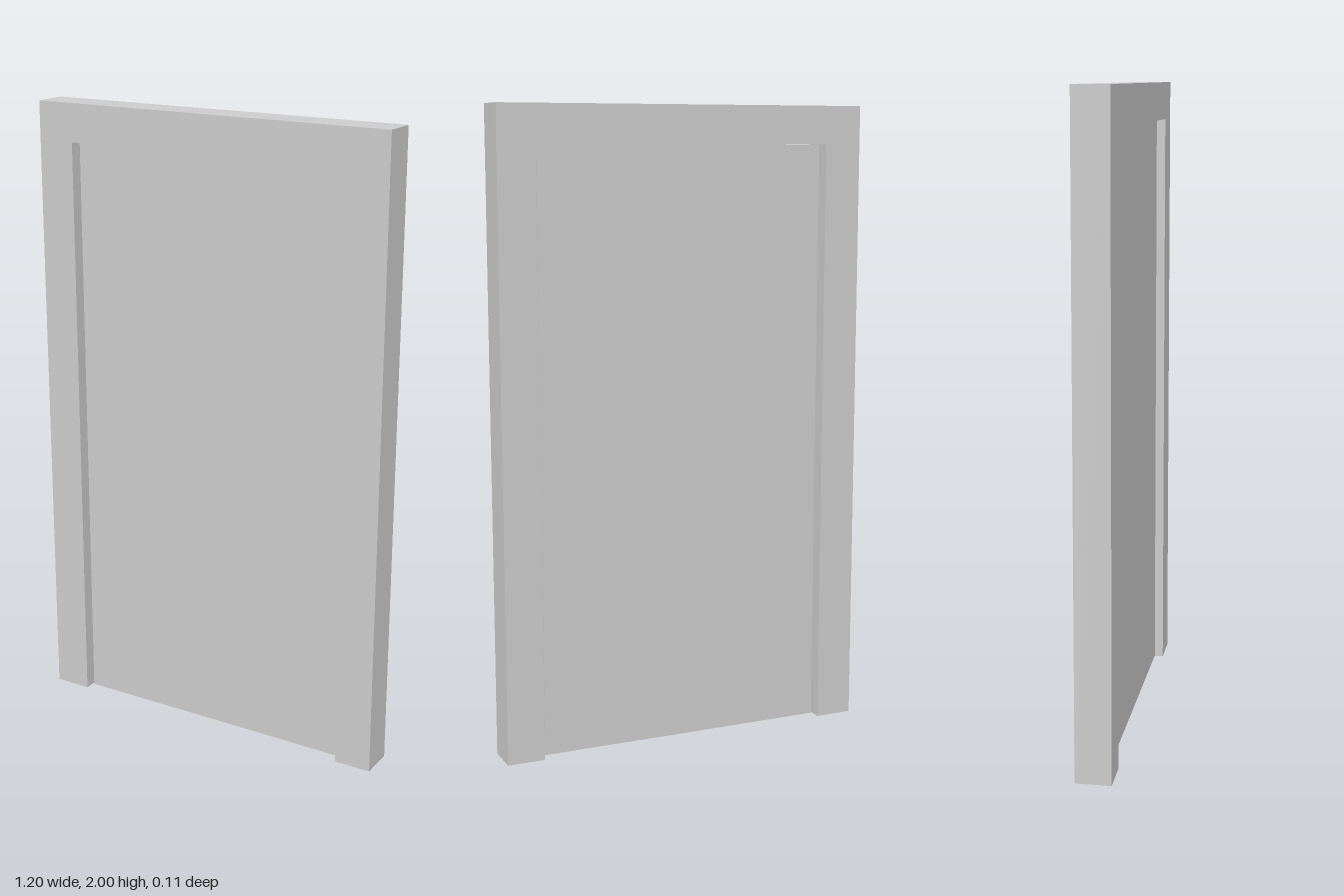
import * as THREE from 'three';

const material = new THREE.MeshStandardMaterial({ color: 0xcccccc, side: THREE.DoubleSide });

const WIDTH = 1.2, HEIGHT = 2, DEPTH = 0.11;   // outer frame
const BORDER = 0.12;                           // width of jambs and lintel
const GAP = 0.01;                              // clearance beside the door leaf
const LEAF_DEPTH = 0.056;

// U-shaped frame, hollow and open under both feet
function makeFrame() {
  const w = WIDTH / 2, i = w - BORDER, top = HEIGHT - BORDER;
  const outline = [[-w, 0], [-i, 0], [-i, top], [i, top], [i, 0], [w, 0], [w, HEIGHT], [-w, HEIGHT]];
  const shape = new THREE.Shape(outline.map(([x, y]) => new THREE.Vector2(x, y)));
  const solid = new THREE.ExtrudeGeometry(shape, { depth: DEPTH, bevelEnabled: false });
  solid.translate(0, 0, -DEPTH / 2);

  // Drop the triangles lying on the ground
  const p = solid.attributes.position, kept = [];
  for (let t = 0; t < p.count; t += 3) {
    const onGround = [0, 1, 2].every(k => Math.abs(p.getY(t + k)) < 1e-6);
    if (onGround) continue;
    for (let k = 0; k < 3; k++) kept.push(p.getX(t + k), p.getY(t + k), p.getZ(t + k));
  }
  const geometry = new THREE.BufferGeometry();
  geometry.setAttribute('position', new THREE.Float32BufferAttribute(kept, 3));
  geometry.computeVertexNormals();
  const frame = new THREE.Mesh(geometry, material);
  frame.name = 'doorFrame';
  return frame;
}

// Plain leaf recessed equally on both faces
function makeLeaf() {
  const bottom = 0.004, top = HEIGHT - BORDER - 0.001;
  const width = WIDTH - 2 * (BORDER + GAP);
  const leaf = new THREE.Mesh(new THREE.BoxGeometry(width, top - bottom, LEAF_DEPTH), material);
  leaf.position.y = (top + bottom) / 2;
  leaf.name = 'doorLeaf';
  return leaf;
}

export function createModel() {
  const door = new THREE.Group();
  door.name = 'door';
  door.add(makeFrame(), makeLeaf());
  return door;
}
